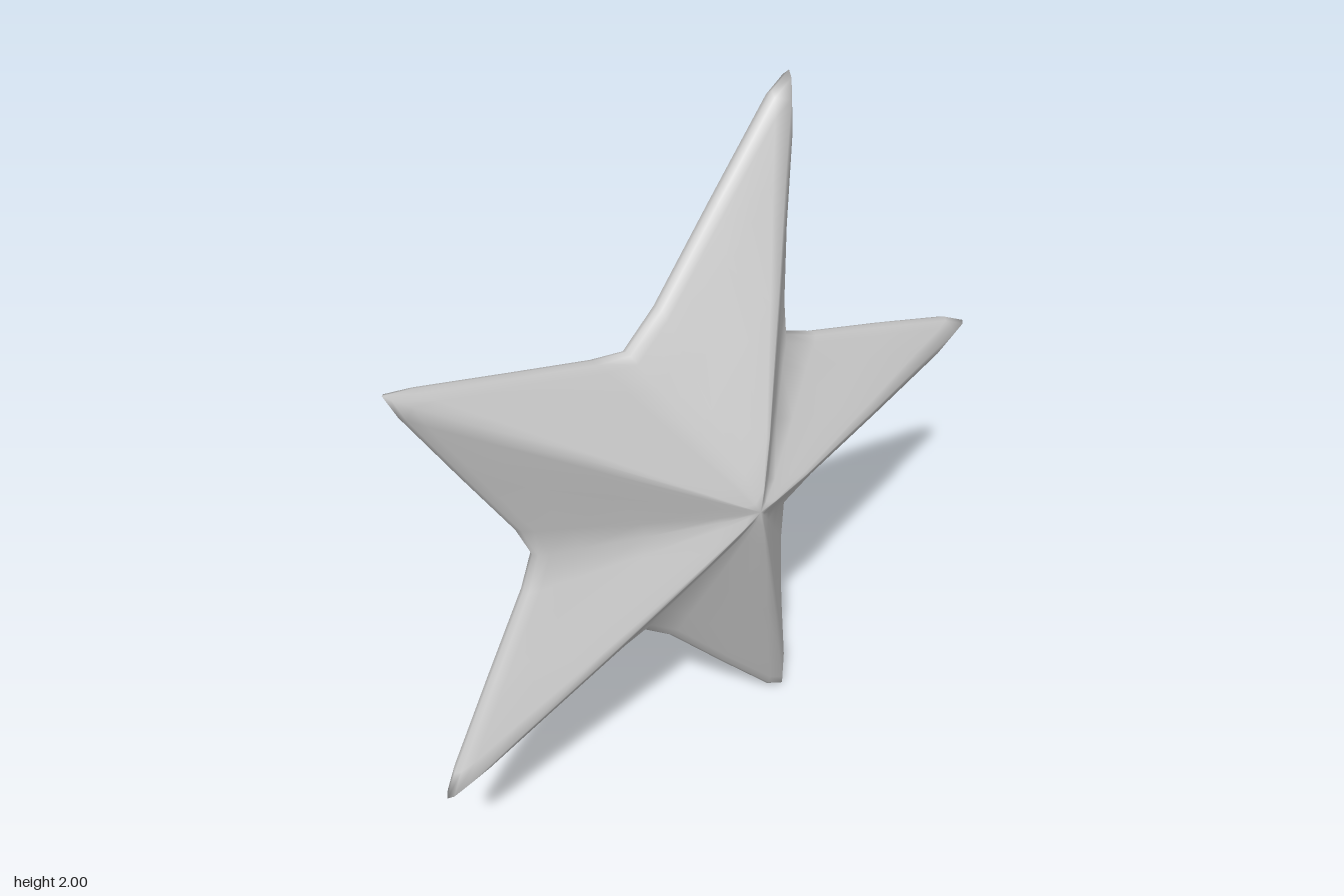
import * as THREE from 'three';

// Upper half of the outline, relative to the star's centre, from right tip to left notch
const upperHalf = [
  [1.05, 0], [0.97, 0.045], [0.7, 0.14], [0.43, 0.23], [0.32, 0.28],
  [0.31, 0.41], [0.315, 0.65], [0.33, 0.9], [0.325, 1.0], [0.27, 0.965],
  [0.085, 0.75], [-0.1, 0.53], [-0.2, 0.445], [-0.3, 0.465], [-0.54, 0.537],
  [-0.78, 0.61], [-0.85, 0.625], [-0.82, 0.555], [-0.69, 0.325], [-0.56, 0.1], [-0.52, 0],
];

// Cross-section from the front peak round the rim to the flat back: [outline scale, z]
const section = [
  [0.06, 0.137], [0.19, 0.11], [0.52, 0.026], [0.8, -0.048], [0.94, -0.082],
  [0.985, -0.098], [1, -0.112], [0.985, -0.128], [0.95, -0.14], [0.91, -0.144], [0.85, -0.145],
];

function starGeometry() {
  const lowerHalf = upperHalf.slice(1, -1).reverse().map(([x, y]) => [x, -y]);
  const outline = [...upperHalf, ...lowerHalf];
  const n = outline.length;
  const positions = [];
  const index = [];

  for (const [s, z] of section) {
    for (const [x, y] of outline) positions.push(x * s, y * s, z);
  }
  const peak = positions.length / 3;
  positions.push(0, 0, 0.145, 0, 0, -0.145);
  const back = peak + 1;
  const last = (section.length - 1) * n;

  for (let i = 0; i < n; i++) {
    const j = (i + 1) % n;
    index.push(peak, i, j, back, last + j, last + i);
    for (let k = 0; k < last; k += n) {
      index.push(k + i, k + n + i, k + n + j, k + i, k + n + j, k + j);
    }
  }

  const geometry = new THREE.BufferGeometry();
  geometry.setAttribute('position', new THREE.Float32BufferAttribute(positions, 3));
  geometry.setIndex(index);
  geometry.computeVertexNormals();
  return geometry;
}

export function createModel() {
  const group = new THREE.Group();
  group.name = 'star';
  const star = new THREE.Mesh(starGeometry(), new THREE.MeshStandardMaterial({ color: 0xcccccc }));
  star.name = 'starBody';
  star.position.set(-0.1, 1, 0);
  group.add(star);
  return group;
}
